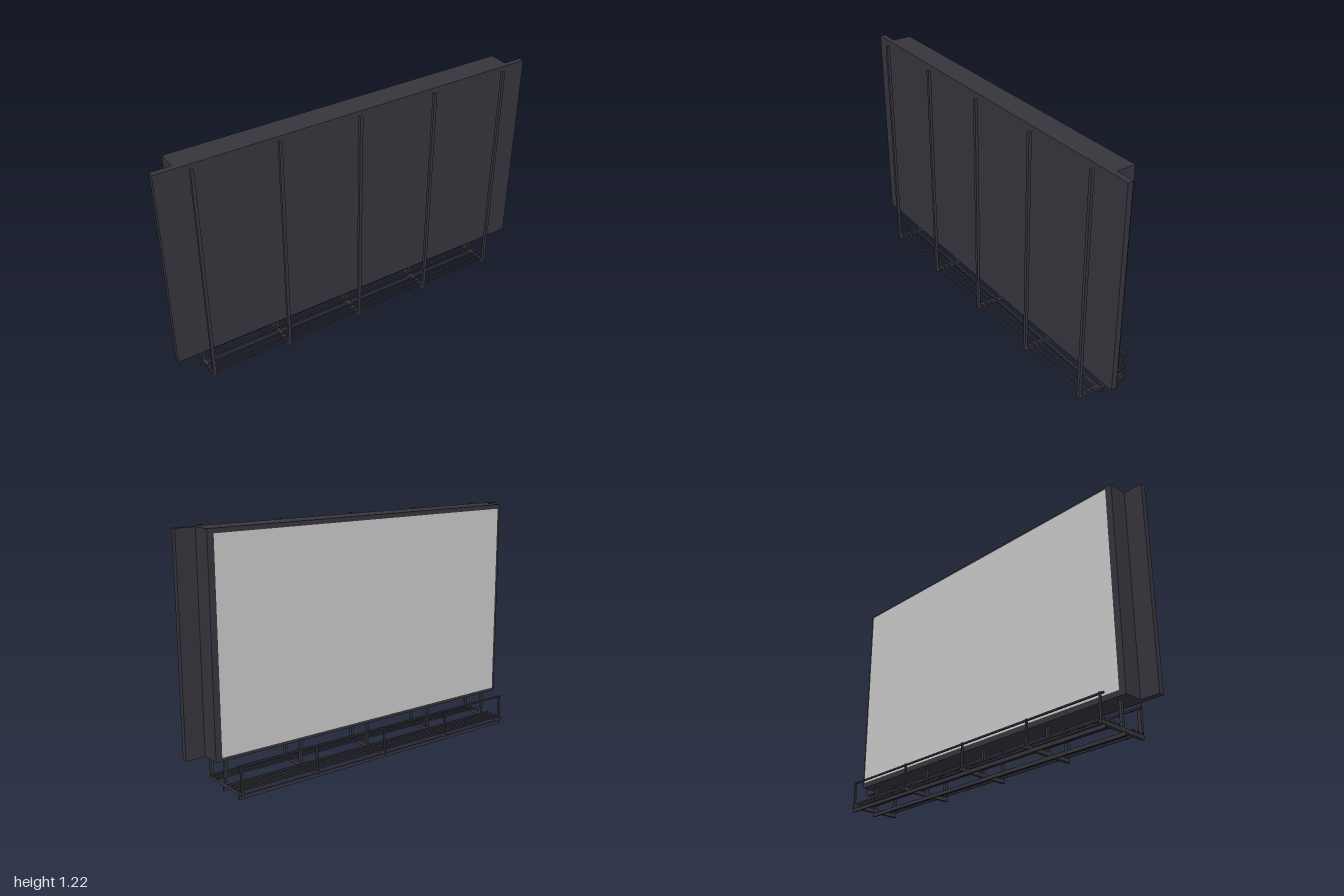
import * as THREE from 'three';

export function createModel() {
  const model = new THREE.Group();
  model.name = 'billboard';
  const dark = new THREE.MeshStandardMaterial({ color: 0x36353d });
  const grey = new THREE.MeshStandardMaterial({ color: 0xcccccc, side: THREE.DoubleSide });

  // Box given by its minimum and maximum on each axis
  function bar(name, [x0, x1], [y0, y1], [z0, z1], parent = model) {
    const mesh = new THREE.Mesh(new THREE.BoxGeometry(x1 - x0, y1 - y0, z1 - z0), dark);
    mesh.position.set((x0 + x1) / 2, (y0 + y1) / 2, (z0 + z1) / 2);
    mesh.name = name;
    parent.add(mesh);
    return mesh;
  }
  const around = (c, size) => [c - size / 2, c + size / 2];

  // Sign body: wide front board and a deeper box behind it
  const bottom = 0.163, top = 1.215;
  bar('frontBoard', [-1, 1], [bottom, top], [0.065, 0.093]);
  bar('signBox', [-0.902, 0.902], [bottom, top], [-0.033, 0.065]);

  // Thin display sheet just off the back of the box
  const screen = new THREE.Mesh(new THREE.PlaneGeometry(1.757, 1.015), grey);
  screen.name = 'displayPanel';
  screen.rotation.y = Math.PI;
  screen.position.set(0, (bottom + top) / 2, -0.045);
  model.add(screen);

  // Five supporting frames
  for (let i = 0; i < 5; i++) {
    const x = -0.842 + i * 0.4185;
    const frame = new THREE.Group();
    frame.name = 'supportFrame';
    bar('tallPost', around(x, 0.016), [0.018, top], [0.127, 0.142], frame);
    bar('crossBeam', around(x, 0.016), [0.018, 0.037], [-0.14, 0.127], frame);
    bar('middlePost', around(x, 0.014), [0.037, bottom], around(0.007, 0.014), frame);
    bar('railingPost', around(x, 0.01), [0.037, 0.16], around(-0.131, 0.009), frame);
    model.add(frame);
  }

  // Long rails running the width of the walkway
  const span = [-0.858, 0.846];
  for (const z of [0.007, -0.123]) bar('lowerBeam', span, [0, 0.018], around(z, 0.009));
  for (const z of [0.122, 0.094, 0.064, -0.033, -0.064, -0.094, -0.124]) {
    bar('walkwayRail', span, [0.037, 0.045], around(z, 0.007));
  }
  for (const z of [0.123, -0.124]) bar('handRail', span, [0.153, 0.161], around(z, 0.008));

  return model;
}
